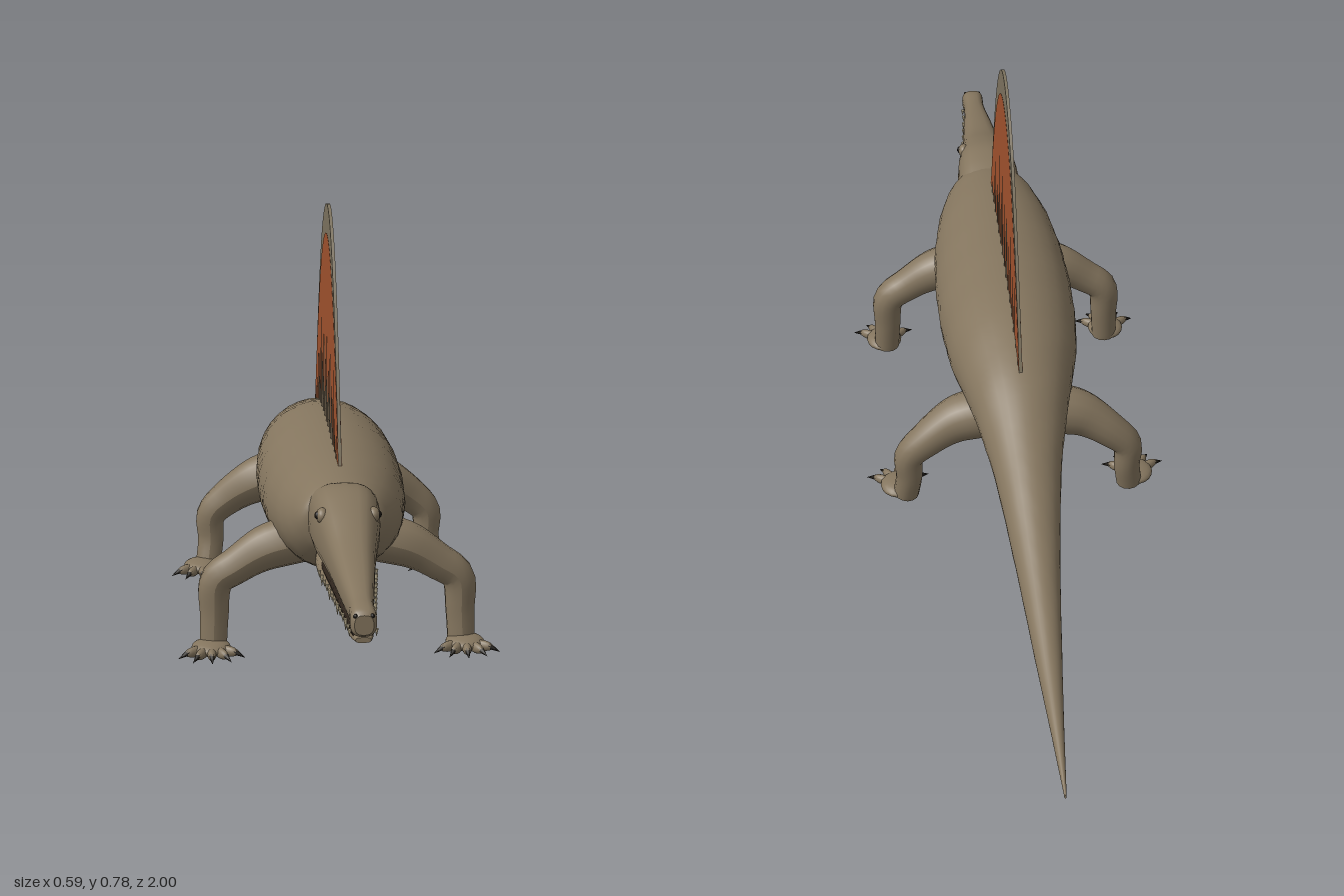
import * as THREE from 'three';

const mat = (name, color, side = THREE.FrontSide) => {
  const m = new THREE.MeshStandardMaterial({ color, side });
  m.name = name;
  return m;
};

// Lofted skin: sections are [z, halfWidth, top, bottom] with rising z; e < 1 squares the section
function loft(sections, steps, sides, e = 1, bump = 0) {
  const zs = new THREE.CatmullRomCurve3(sections.map(s => new THREE.Vector3(s[0], 0, 0)), false, 'catmullrom');
  const rs = new THREE.CatmullRomCurve3(sections.map(s => new THREE.Vector3(s[1], s[2], s[3])), false, 'catmullrom');
  const pos = [], idx = [];
  const pw = v => Math.sign(v) * Math.abs(v) ** e;
  for (let i = 0; i <= steps; i++) {
    const z = zs.getPoint(i / steps).x, r = rs.getPoint(i / steps);
    for (let j = 0; j < sides; j++) {
      const a = j / sides * Math.PI * 2;
      const k = 1 + bump * Math.sin(z * 95 + j * 1.9) * Math.sin(j * 2.7 + z * 40);
      pos.push(r.x * pw(Math.cos(a)) * k, (r.y + r.z) / 2 + (r.y - r.z) / 2 * pw(Math.sin(a)) * k, z);
    }
  }
  for (let i = 0; i < steps; i++) for (let j = 0; j < sides; j++) {
    const a = i * sides + j, b = i * sides + (j + 1) % sides;
    idx.push(a, b, a + sides, b, b + sides, a + sides);
  }
  // flat end caps with their own vertices
  for (const [ring, flip] of [[0, true], [steps, false]]) {
    const base = pos.length / 3, s = sections[flip ? 0 : sections.length - 1];
    for (let j = 0; j < sides; j++) pos.push(...pos.slice((ring * sides + j) * 3, (ring * sides + j) * 3 + 3));
    pos.push(0, (s[2] + s[3]) / 2, s[0]);
    for (let j = 0; j < sides; j++) {
      const a = base + j, b = base + (j + 1) % sides;
      idx.push(base + sides, flip ? b : a, flip ? a : b);
    }
  }
  const g = new THREE.BufferGeometry();
  g.setAttribute('position', new THREE.Float32BufferAttribute(pos, 3));
  g.setIndex(idx);
  g.computeVertexNormals();
  return g;
}

// Tube whose radius follows a list of values
function limb(points, radii, steps = 24, sides = 14) {
  const curve = new THREE.CatmullRomCurve3(points.map(p => new THREE.Vector3(...p)));
  const rad = new THREE.CatmullRomCurve3(radii.map((r, i) => new THREE.Vector3(r, i, 0)), false, 'catmullrom');
  const g = new THREE.TubeGeometry(curve, steps, 1, sides);
  const p = g.attributes.position, v = new THREE.Vector3();
  for (let i = 0; i <= steps; i++) {
    const c = curve.getPointAt(i / steps), r = rad.getPoint(i / steps).x;
    for (let j = 0; j <= sides; j++) {
      const k = i * (sides + 1) + j;
      v.fromBufferAttribute(p, k).sub(c).multiplyScalar(r).add(c);
      p.setXYZ(k, v.x, v.y, v.z);
    }
  }
  g.computeVertexNormals();
  return g;
}

export function createModel() {
  const root = new THREE.Group();
  root.name = 'sailBackedReptile';
  const skin = mat('skin brown', 0x84755e), sailMat = mat('sail rust', 0xa0522d), rimMat = mat('sail rim', 0x7d735f);
  const spineMat = mat('spine brown', 0x5a4e3e), clawMat = mat('claw black', 0x1e1a15);
  const mouthMat = mat('mouth dark', 0x2e241c), toothMat = mat('tooth bone', 0xb8ab8c), eyeMat = mat('eye dark', 0x15110d);

  const add = (parent, name, geo, material, pos = [0, 0, 0]) => {
    const m = new THREE.Mesh(geo, material);
    m.name = name;
    m.position.set(...pos);
    parent.add(m);
    return m;
  };
  // Cone from base point a to tip b
  const spike = (parent, name, a, b, r, material, tip = 0) => {
    const A = new THREE.Vector3(...a), d = new THREE.Vector3(...b).sub(A);
    const m = add(parent, name, new THREE.CylinderGeometry(tip, r, d.length(), 7), material);
    m.position.copy(A).addScaledVector(d, 0.5);
    m.quaternion.setFromUnitVectors(new THREE.Vector3(0, 1, 0), d.normalize());
    return m;
  };

  // Body and tail in one skin
  add(root, 'bodyAndTail', loft([
    [-1, 0.002, 0.025, 0.018], [-0.85, 0.013, 0.067, 0.036], [-0.7, 0.025, 0.11, 0.057], [-0.5, 0.042, 0.18, 0.095],
    [-0.3, 0.065, 0.265, 0.142], [-0.15, 0.094, 0.332, 0.163], [0, 0.124, 0.367, 0.15], [0.15, 0.135, 0.375, 0.145],
    [0.3, 0.132, 0.373, 0.148], [0.42, 0.119, 0.368, 0.16], [0.5, 0.099, 0.36, 0.185], [0.545, 0.078, 0.35, 0.22],
    [0.56, 0.05, 0.335, 0.245]], 96, 32, 1, 0.008), skin);

  // Head: skull, mouth lining and lower jaw
  const head = new THREE.Group();
  head.name = 'head';
  root.add(head);
  add(head, 'skull', loft([
    [0.51, 0.064, 0.348, 0.235], [0.56, 0.063, 0.361, 0.228], [0.61, 0.06, 0.363, 0.226], [0.67, 0.051, 0.346, 0.226],
    [0.75, 0.04, 0.316, 0.226], [0.85, 0.03, 0.293, 0.224], [0.93, 0.022, 0.277, 0.222], [0.97, 0.022, 0.273, 0.22],
    [0.99, 0.022, 0.268, 0.22], [1, 0.016, 0.26, 0.226]], 48, 24, 0.75), skin);
  add(head, 'mouthLining', loft([
    [0.58, 0.048, 0.234, 0.218], [0.75, 0.034, 0.232, 0.216], [0.97, 0.018, 0.228, 0.214]], 12, 16, 0.5), mouthMat);
  add(head, 'lowerJaw', loft([
    [0.553, 0.05, 0.25, 0.206], [0.6, 0.052, 0.236, 0.204], [0.67, 0.044, 0.224, 0.204], [0.75, 0.036, 0.223, 0.206],
    [0.85, 0.027, 0.221, 0.206], [0.95, 0.02, 0.219, 0.205], [0.985, 0.013, 0.217, 0.208]], 30, 18, 0.6), skin);
  for (const s of [-1, 1]) {
    add(head, 'eyelid', new THREE.SphereGeometry(0.014, 16, 12), skin, [s * 0.045, 0.328, 0.648]).scale.set(0.8, 1, 1.1);
    add(head, 'eye', new THREE.SphereGeometry(0.008, 14, 10), eyeMat, [s * 0.051, 0.329, 0.65]);
    add(head, 'nostril', new THREE.SphereGeometry(0.004, 10, 8), eyeMat, [s * 0.014, 0.258, 0.996]);
    // Teeth hang along the lip; the front ones are longest
    for (let i = 0; i < 13; i++) {
      const t = i / 12, z = 0.65 + t * 0.325, x = s * (0.05 - 0.0275 * Math.min(1, t * 1.1));
      const len = i % 3 === 1 ? 0.022 : 0.014;
      spike(head, 'tooth', [x, 0.229, z], [x, 0.229 - len, z], 0.0035, toothMat);
    }
  }

  // Sail: arch over the back, drawn in the (z, y) plane and centred on x
  const back = z => 0.355 - Math.max(0, 0.02 - z) * 0.16;
  const arch = (z, k) => {
    const d = (z - 0.17) / (z > 0.17 ? 0.295 : 0.33), b = back(z);
    return b + (0.785 - 0.355) * k * Math.max(0, 1 - d * d);
  };
  const line = k => Array.from({ length: 49 }, (_, i) => {
    const z = -0.16 + i / 48 * 0.625;
    return new THREE.Vector2(z, arch(z, k));
  });
  const plate = (pts, t) => new THREE.ExtrudeGeometry(new THREE.Shape(pts), { depth: t, bevelEnabled: false })
    .translate(0, 0, -t / 2).rotateY(-Math.PI / 2);
  add(root, 'sailWeb', plate([...line(0.87), new THREE.Vector2(0.44, 0.3), new THREE.Vector2(-0.14, 0.28)], 0.007), sailMat);
  add(root, 'sailRim', plate([...line(1), ...line(0.865).reverse()], 0.006), rimMat);
  for (let i = 0; i < 15; i++) {
    const z = 0.42 - i * 0.04, low = back(z) - 0.02;
    const top = low + (arch(z, 1) - low) * (i % 2 ? 0.52 : 0.7);
    spike(root, 'sailSpine', [0, low, z], [0, top, z], 0.0065, spineMat, 0.003);
  }

  // Legs: sprawling limb, foot pad and five clawed toes
  const makeLeg = (name, z, s, hind) => {
    const leg = new THREE.Group();
    leg.name = name;
    root.add(leg);
    const path = hind
      ? [[0.05, 0.2, z], [0.12, 0.183, z], [0.18, 0.145, z - 0.01], [0.213, 0.11, z - 0.012], [0.214, 0.06, z - 0.01], [0.22, 0.012, z]]
      : [[0.06, 0.215, z], [0.13, 0.196, z], [0.185, 0.163, z], [0.221, 0.135, z - 0.002], [0.226, 0.07, z], [0.228, 0.012, z + 0.005]];
    add(leg, 'limb', limb(path.map(p => [p[0] * s, p[1], p[2]]),
      hind ? [0.05, 0.047, 0.038, 0.031, 0.026, 0.025] : [0.045, 0.043, 0.035, 0.031, 0.027, 0.025]), skin);
    const fx = 0.233, fz = z + 0.022;
    add(leg, 'footPad', new THREE.SphereGeometry(1, 18, 12), skin, [s * fx, 0.015, fz]).scale.set(0.036, 0.014, 0.04);
    for (let i = 0; i < 5; i++) {
      const a = (i - 2) * 0.5, dx = Math.sin(a) * s, dz = Math.cos(a);
      const at = (r, y) => [s * fx + dx * r, y, fz + dz * r];
      const toe = add(leg, 'toe', new THREE.SphereGeometry(1, 12, 8), skin, at(0.036, 0.013));
      toe.scale.set(0.0085, 0.01, 0.022);
      toe.rotation.y = a * s;
      spike(leg, 'claw', at(0.05, 0.014), at(0.073, 0.006), 0.006, clawMat);
    }
  };
  for (const s of [-1, 1]) {
    const side = s > 0 ? 'left' : 'right';
    makeLeg(side + 'FrontLeg', 0.4, s, false);
    makeLeg(side + 'HindLeg', -0.1, s, true);
  }
  return root;
}
